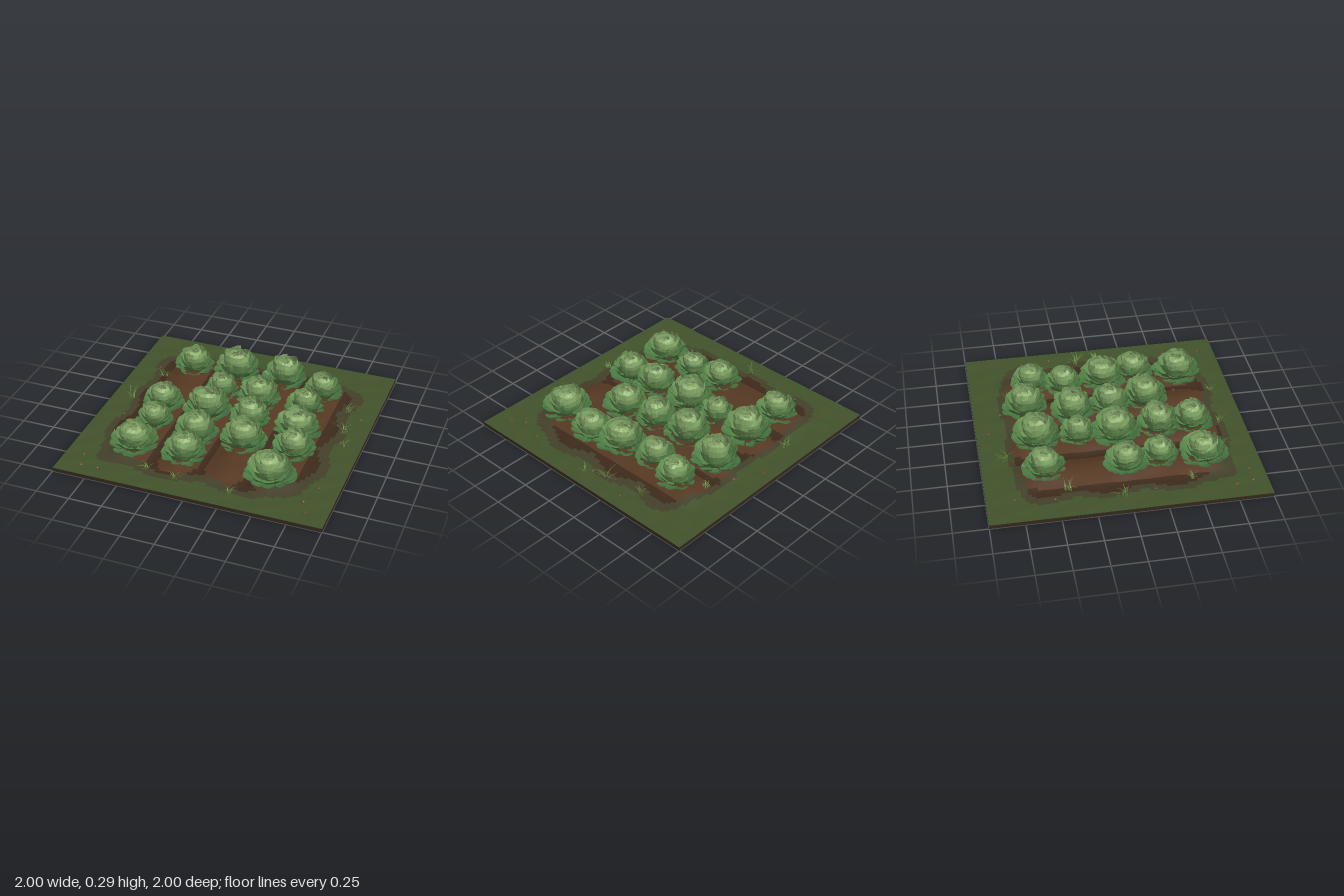
import * as THREE from 'three';
import { mergeGeometries } from 'three/addons/utils/BufferGeometryUtils.js';

let seed = 7;
const rand = () => {
  seed = (seed * 16807) % 2147483647;
  return seed / 2147483647;
};
const vary = (a) => (rand() * 2 - 1) * a;
const mat = (color, flatShading = true) =>
  new THREE.MeshStandardMaterial({ color, flatShading, side: THREE.DoubleSide });

const M = {
  grass: mat(0x42532c, false), fringe: mat(0x43412a, false), soil: mat(0x553823, false),
  furrow: mat(0x3d2a1b, false), earth: mat(0x33281b), blade: mat(0x5d7a3a), pebble: mat(0x6b4a32),
};

function mesh(name, geometry, material) {
  const m = new THREE.Mesh(geometry, material);
  m.name = name;
  return m;
}

// Surface from a grid of points given by a rule; keep() filters cells
function grid(nu, nv, point, keep = () => true) {
  const pos = [], index = [];
  for (let j = 0; j <= nv; j++)
    for (let i = 0; i <= nu; i++) pos.push(...point(i / nu, j / nv));
  for (let j = 0; j < nv; j++)
    for (let i = 0; i < nu; i++) {
      if (!keep((i + 0.5) / nu, (j + 0.5) / nv)) continue;
      const a = j * (nu + 1) + i, b = a + 1, c = a + nu + 1, d = c + 1;
      index.push(a, c, b, b, c, d);
    }
  const g = new THREE.BufferGeometry();
  g.setAttribute('position', new THREE.Float32BufferAttribute(pos, 3));
  g.setIndex(index);
  g.computeVertexNormals();
  return g;
}

// Ground height: four planted ridges fading out at both ends
const ROWS = [-0.54, -0.18, 0.18, 0.53];
function ridge(x, z) {
  const ends = 1 - THREE.MathUtils.smoothstep(Math.abs(z), 0.6, 0.86);
  const d = Math.min(...ROWS.map((r) => Math.abs(x - r)));
  return ends * Math.pow(Math.cos(Math.min(d / 0.19, 1) * Math.PI / 2), 1.4);
}
const groundY = (x, z) => {
  const lumps = 0.003 * Math.sin(x * 23 + z * 9) * Math.sin(z * 19 - x * 7);
  const inside = Math.max(Math.abs(x), Math.abs(z)) < 0.97 ? 1 : 0;
  return 0.03 + 0.042 * ridge(x, z) + lumps * inside;
};

// Which surface covers a spot
function cover(x, z) {
  const wobble = 0.025 * Math.sin(x * 11 + 1) + 0.025 * Math.sin(z * 13);
  const d = Math.pow(Math.pow(Math.abs(x), 7) + Math.pow(Math.abs(z), 7), 1 / 7) + wobble;
  if (d > 0.81) return 'grass';
  if (d > 0.75) return 'fringe';
  return ridge(x, z) < 0.22 ? 'furrow' : 'soil';
}

function createGround() {
  const g = new THREE.Group();
  g.name = 'ground';
  const slab = mesh('earthSlab', new THREE.BoxGeometry(2, 0.026, 2), M.earth);
  slab.position.y = 0.013;
  g.add(slab);
  const n = 80, at = (t) => t * 2 - 1;
  for (const kind of ['grass', 'fringe', 'soil', 'furrow']) {
    const geo = grid(n, n, (u, v) => [at(u), groundY(at(u), at(v)), at(v)],
      (u, v) => cover(at(u), at(v)) === kind);
    g.add(mesh(kind + 'Surface', geo, M[kind]));
  }
  return g;
}

// Leaf rings: profile as [radius, height] for a plant of radius 1 and height 1
const RINGS = [
  { name: 'groundLeaves', count: 10, half: 0.29, mat: mat(0x4a7a44),
    path: [[0.12, 0.06], [0.5, 0.02], [0.8, 0.14], [1.0, 0.24]] },
  { name: 'outerLeaves', count: 9, half: 0.36, mat: mat(0x568649),
    path: [[0.1, 0.08], [0.5, 0.12], [0.76, 0.34], [0.9, 0.5]] },
  { name: 'middleLeaves', count: 8, half: 0.42, mat: mat(0x6a9656),
    path: [[0.1, 0.1], [0.48, 0.2], [0.66, 0.5], [0.76, 0.72]] },
  { name: 'innerLeaves', count: 7, half: 0.52, mat: mat(0x80a565),
    path: [[0.1, 0.15], [0.45, 0.35], [0.57, 0.7], [0.53, 0.95]] },
  { name: 'heartLeaves', count: 5, half: 0.7, mat: mat(0x92b272),
    path: [[0.15, 0.25], [0.36, 0.5], [0.36, 0.78], [0.2, 0.9]] },
];
const heartMat = mat(0x8aaa68);

// One cupped leaf with a blunt, ragged tip
function leaf(ring, angle, r, h) {
  const curve = new THREE.SplineCurve(ring.path.map(([a, b]) => new THREE.Vector2(a, b)));
  const size = 1 + vary(0.07), lift = vary(0.05), tilt = vary(0.06);
  return grid(4, 4, (u, v) => {
    const t = u * 2 - 1;
    const p = curve.getPoint(v * (1 - 0.1 * t * t));
    const spread = ring.half * (0.65 + 0.55 * Math.sin(Math.PI * v * 0.72));
    const a = angle + t * spread;
    const rough = v > 0.6 ? 0.025 : 0.008;
    const radius = r * (p.x * (1 + (size - 1) * v) + vary(rough) - 0.03 * Math.abs(t) * v);
    const y = h * (p.y + lift * v + tilt * t * v + 0.04 * t * t * v + vary(rough));
    return [Math.cos(a) * radius, Math.max(y, 0), Math.sin(a) * radius];
  });
}

function createCabbage([x, z, r, top]) {
  const g = new THREE.Group();
  g.name = 'cabbage';
  const base = groundY(x, z) - 0.012, h = top - base;
  for (const ring of RINGS) {
    const turn = rand() * 6.28, leaves = [];
    for (let i = 0; i < ring.count; i++)
      leaves.push(leaf(ring, turn + (i / ring.count) * Math.PI * 2 + vary(0.09), r, h));
    g.add(mesh(ring.name, mergeGeometries(leaves), ring.mat));
  }
  // Closed head in the middle
  const heart = mesh('heart', new THREE.IcosahedronGeometry(1, 1), heartMat);
  heart.scale.set(r * 0.36, h * 0.34, r * 0.36);
  heart.position.y = h * 0.46;
  g.add(heart);
  g.position.set(x, base, z);
  return g;
}

// Tuft of thin curved blades
function createTuft([x, z, size]) {
  const blades = [];
  for (let i = 0; i < 11; i++) {
    const a = rand() * 6.28, reach = size * (0.4 + rand() * 0.8), h = size * (0.45 + rand() * 0.5);
    const ox = vary(size * 0.3), oz = vary(size * 0.3), c = Math.cos(a), s = Math.sin(a);
    blades.push(grid(1, 3, (u, v) => {
      const w = (u - 0.5) * 0.013 * (1 - v * 0.95), d = reach * v * v;
      return [ox + c * d - s * w, h * (v * 1.4 - 0.4 * v * v), oz + s * d + c * w];
    }));
  }
  const m = mesh('grassTuft', mergeGeometries(blades), M.blade);
  m.position.set(x, groundY(x, z) - 0.003, z);
  return m;
}

function createPebble([x, z]) {
  const m = mesh('pebble', new THREE.IcosahedronGeometry(0.016, 0), M.pebble);
  m.scale.set(1 + vary(0.3), 0.55, 0.8 + vary(0.2));
  m.rotation.y = rand() * 6;
  m.position.set(x, groundY(x, z) + 0.003, z);
  return m;
}

// x, z, radius, top height
const CABBAGES = [
  [-0.53, -0.56, 0.16, 0.235], [-0.18, -0.57, 0.185, 0.28], [0.21, -0.61, 0.175, 0.27], [0.54, -0.53, 0.15, 0.23],
  [-0.19, -0.27, 0.135, 0.235], [0.11, -0.26, 0.175, 0.265], [0.47, -0.28, 0.148, 0.23],
  [-0.56, 0.02, 0.16, 0.23], [-0.2, 0.01, 0.19, 0.265], [0.145, 0.03, 0.16, 0.255], [0.51, 0.03, 0.185, 0.245],
  [-0.52, 0.27, 0.14, 0.22], [-0.165, 0.335, 0.17, 0.255], [0.19, 0.305, 0.178, 0.26], [0.565, 0.28, 0.165, 0.235],
  [-0.545, 0.59, 0.18, 0.235], [-0.155, 0.59, 0.165, 0.245], [0.5, 0.62, 0.188, 0.245],
];
// x, z, size
const TUFTS = [
  [-0.31, -0.82, 0.08], [-0.72, -0.42, 0.075], [-0.85, -0.05, 0.085], [0.43, -0.73, 0.06], [0.77, -0.42, 0.06],
  [0.83, -0.14, 0.085], [0.88, 0.03, 0.06], [-0.74, 0.47, 0.06], [-0.37, 0.78, 0.055], [-0.13, 0.82, 0.055], [0.29, 0.84, 0.055],
];
const PEBBLES = [
  [0.02, -0.91], [-0.77, -0.8], [-0.81, -0.52], [0.9, -0.34], [-0.81, 0.19], [0.85, 0.58], [-0.86, 0.77], [-0.83, 0.89],
  [-0.7, 0.89], [0.84, 0.87], [0.79, 0.76], [0.84, -0.01], [0.23, -0.8], [0.04, -0.68], [0.32, 0.56], [-0.34, 0.12],
];

export function createModel() {
  const model = new THREE.Group();
  model.name = 'cabbagePatch';
  model.add(createGround());
  CABBAGES.forEach((c) => model.add(createCabbage(c)));
  TUFTS.forEach((t) => model.add(createTuft(t)));
  PEBBLES.forEach((p) => model.add(createPebble(p)));
  return model;
}
